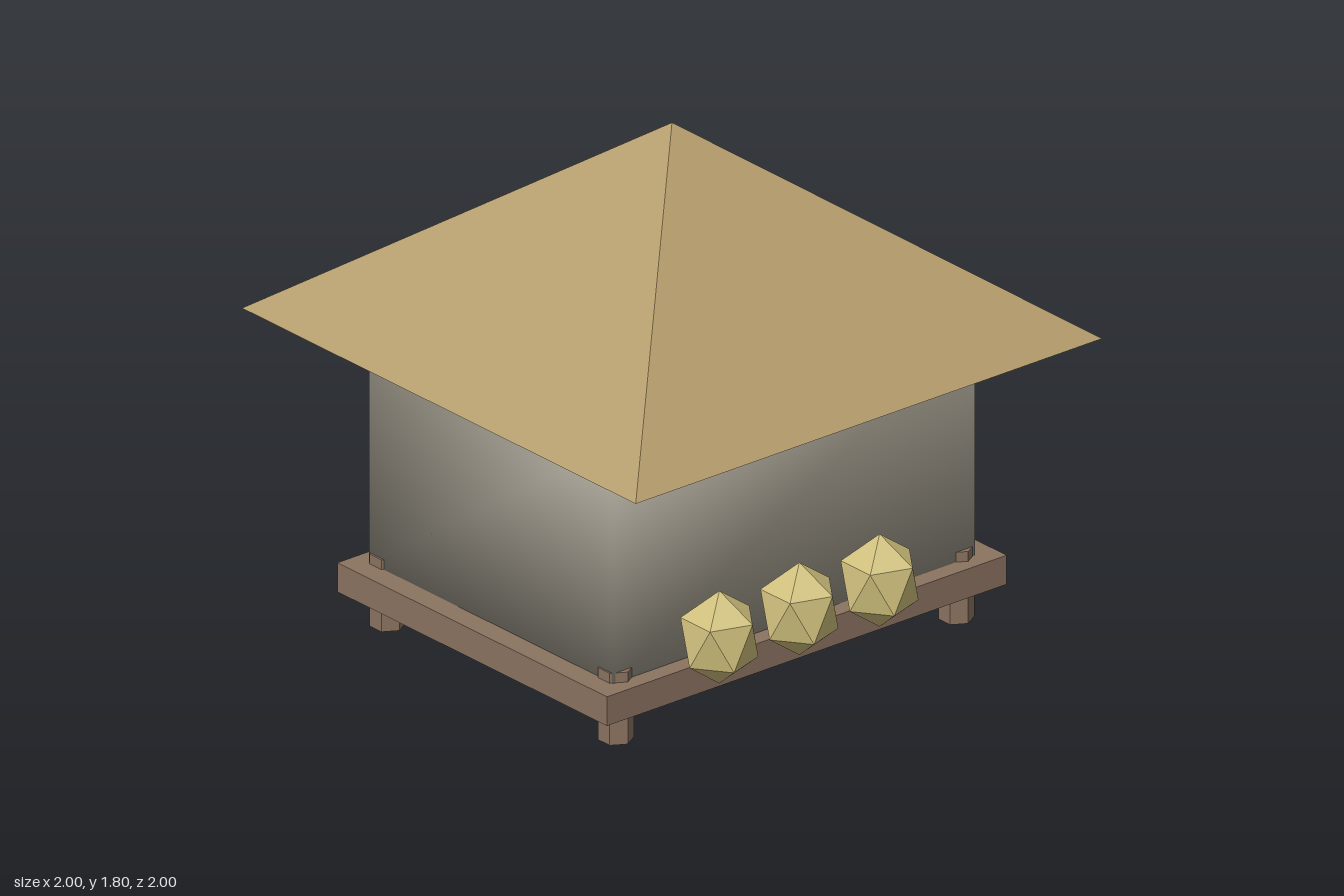
import * as THREE from 'three';
import { mergeVertices } from 'three/addons/utils/BufferGeometryUtils.js';

const paint = (color, flatShading = true) => new THREE.MeshStandardMaterial({ color, flatShading });

export function createModel() {
  const model = new THREE.Group();
  const wood = paint(0x8b7360);
  const thatch = paint(0xb39b6b);
  const plaster = paint(0xa09a8c, false);
  const straw = paint(0xcfbf7c);

  const add = (name, geometry, material, x, y, z) => {
    const mesh = new THREE.Mesh(geometry, material);
    mesh.name = name;
    mesh.position.set(x, y, z);
    model.add(mesh);
    return mesh;
  };

  // Raised floor
  add('floor', new THREE.BoxGeometry(1.714, 0.105, 1.37), wood, 0, 0.172, 0);

  // Hexagonal stilts poking just above the floor
  const stilt = new THREE.CylinderGeometry(0.06, 0.06, 0.26, 6);
  for (const x of [-0.73, 0.73]) {
    for (const z of [-0.58, 0.58]) add('stilt', stilt, wood, x, 0.13, z);
  }

  // Walls with shared corner vertices, so the shading is soft across the corners
  let walls = new THREE.BoxGeometry(1.55, 0.86, 1.24);
  walls.deleteAttribute('normal');
  walls.deleteAttribute('uv');
  walls = mergeVertices(walls);
  walls.computeVertexNormals();
  add('walls', walls, plaster, 0, 0.65, 0);

  // Pyramid roof, closed underneath
  const roof = new THREE.ConeGeometry(Math.SQRT2, 0.725, 4);
  roof.rotateY(Math.PI / 4);
  add('roof', roof, thatch, 0, 1.4375, 0);

  // Row of bundles: icosahedra standing on a point, slightly stretched upwards
  const bundle = new THREE.IcosahedronGeometry(0.143, 0);
  bundle.rotateZ(-Math.atan(2 / (1 + Math.sqrt(5))));
  bundle.scale(1, 1.17, 1);
  for (const x of [-0.43, -0.087, 0.257]) add('bundle', bundle, straw, x, 0.336, 0.75);

  return model;
}
